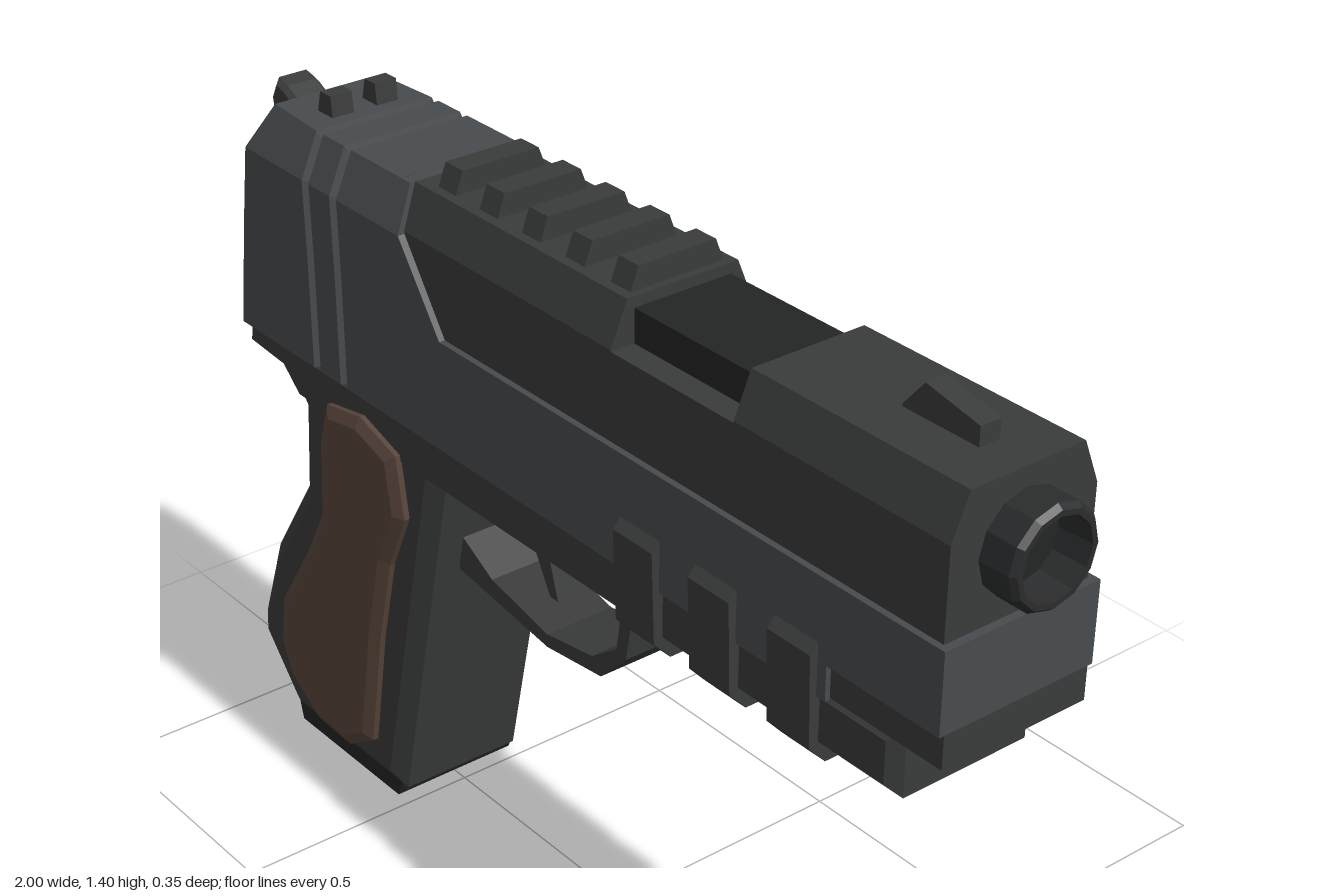
import * as THREE from 'three';

const material = (color) => new THREE.MeshStandardMaterial({ color, flatShading: true });
const LIGHT = material(0x484b4e);
const DARK = material(0x3a3b3b);
const BLACK = material(0x232424);
const BROWN = material(0x57443a);

export function createModel() {
  const model = new THREE.Group();

  const add = (name, geometry, mat) => {
    const mesh = new THREE.Mesh(geometry, mat);
    mesh.name = name;
    model.add(mesh);
    return mesh;
  };

  const box = (name, mat, x0, x1, y0, y1, halfZ, z = 0) =>
    add(name, new THREE.BoxGeometry(x1 - x0, y1 - y0, halfZ * 2), mat)
      .position.set((x0 + x1) / 2, (y0 + y1) / 2, z);

  // Side outline extruded across z, with an optional chamfer kept inside the outline
  const plate = (name, mat, points, halfZ, chamfer = 0, chamferZ = chamfer) => {
    const shape = new THREE.Shape(points.map(([x, y]) => new THREE.Vector2(x, y)));
    const depth = 2 * (halfZ - chamferZ);
    const geometry = new THREE.ExtrudeGeometry(shape, {
      depth, bevelEnabled: chamfer > 0, bevelSegments: 1,
      bevelSize: chamfer, bevelOffset: -chamfer, bevelThickness: chamferZ,
    });
    geometry.translate(0, 0, -depth / 2);
    return add(name, geometry, mat);
  };

  // Solid along x from stations of [x, y, z] half sections (bottom to top), mirrored in z
  const loft = (name, mat, stations) => {
    const rings = stations.map((s) => [...s, ...[...s].reverse().map(([x, y, z]) => [x, y, -z])]);
    const n = rings[0].length;
    const out = [];
    const quad = (a, b, c, d) => out.push(...a, ...b, ...c, ...a, ...c, ...d);
    for (let k = 0; k < rings.length - 1; k++) {
      const [p, q] = [rings[k], rings[k + 1]];
      for (let i = 0; i < n; i++) {
        const j = (i + 1) % n;
        quad(p[i], q[i], q[j], p[j]);
      }
    }
    const back = rings[0], front = rings[rings.length - 1];
    for (let i = 0; i < n / 2 - 1; i++) {
      const [a, b, c, d] = [i, i + 1, n - 2 - i, n - 1 - i];
      quad(back[a], back[b], back[c], back[d]);
      quad(front[a], front[d], front[c], front[b]);
    }
    const geometry = new THREE.BufferGeometry();
    geometry.setAttribute('position', new THREE.Float32BufferAttribute(out, 3));
    geometry.computeVertexNormals();
    return add(name, geometry, mat);
  };
  const at = (x, profile) => profile.map(([y, z]) => [x, y, z]);
  const prism = (name, mat, x0, x1, profile) => loft(name, mat, [at(x0, profile), at(x1, profile)]);

  // Rear slide with two grooves around it
  const full = [[0.885, 0.16], [1.1, 0.16], [1.26, 0.162], [1.345, 0.125]];
  const groove = [[0.885, 0.147], [1.1, 0.147], [1.255, 0.149], [1.328, 0.115]];
  const stations = [
    [[-0.97, 0.885, 0.13], [-0.945, 1.1, 0.13], [-0.933, 1.2, 0.13], [-0.93, 1.24, 0.1]],
    [[-0.955, 0.885, 0.16], [-0.925, 1.1, 0.16], [-0.9, 1.26, 0.16], [-0.86, 1.345, 0.115]],
  ];
  for (const x of [-0.71, -0.622]) {
    stations.push(at(x, full), at(x + 0.004, groove), at(x + 0.018, groove), at(x + 0.022, full));
  }
  const cutX = [-0.3, -0.3, -0.41, -0.42];
  stations.push(full.map(([y, z], i) => [cutX[i], y, z]));
  loft('rearSlide', LIGHT, stations);

  // Lower slide bar running to the front
  plate('lowerSlide', LIGHT, [[-0.31, 0.885], [0.7, 0.885], [0.7, 0.95], [0.945, 0.95],
    [0.945, 1.1], [-0.31, 1.1]], 0.16);

  // Upper slide in three runs, lowered at the ejection port
  const upper = [[1.09, 0.148], [1.265, 0.148], [1.345, 0.115]];
  prism('upperSlideRear', DARK, -0.45, 0.16, upper);
  prism('upperSlidePort', DARK, 0.16, 0.46, [[1.09, 0.148], [1.262, 0.148]]);
  prism('upperSlideFront', DARK, 0.46, 0.93, upper);
  box('chamberBlock', BLACK, 0.16, 0.46, 1.24, 1.325, 0.1);

  // Teeth on top of the slide
  for (let i = 0; i < 5; i++) {
    const x = -0.352 + i * 0.118;
    prism('topTooth', DARK, x - 0.025, x + 0.025, [[1.335, 0.1], [1.387, 0.08]]);
  }

  // Sights
  for (const z of [-0.048, 0.048]) {
    plate('rearSight', DARK, [[-0.788, 1.335], [-0.738, 1.335], [-0.743, 1.385], [-0.776, 1.385]], 0.023)
      .position.z = z;
  }
  plate('frontSight', DARK, [[0.69, 1.335], [0.85, 1.335], [0.85, 1.38], [0.735, 1.403], [0.69, 1.35]], 0.021);

  // Hollow muzzle
  const tube = [[0, 0.9], [0.066, 0.9], [0.072, 1], [0.082, 1], [0.09, 0.99], [0.09, 0.9]];
  const muzzle = new THREE.LatheGeometry(tube.map(([r, h]) => new THREE.Vector2(r, h)).reverse(), 12);
  muzzle.rotateZ(-Math.PI / 2);
  // Deepen nothing else: the bore floor sits just behind the slide face
  const barrel = add('muzzle', muzzle, BLACK);
  barrel.material = material(0x2b2c2d);
  barrel.material.side = THREE.DoubleSide;
  barrel.position.y = 1.22;
  const floor = new THREE.CircleGeometry(0.072, 12);
  floor.rotateY(Math.PI / 2);
  add('boreFloor', floor, BLACK).position.set(0.935, 1.22, 0);

  // Hammer
  plate('hammer', DARK, [[-0.9, 1.2], [-0.87, 1.29], [-0.95, 1.33], [-0.98, 1.338], [-1, 1.3],
    [-0.995, 1.268], [-0.93, 1.235]], 0.04, 0.01);

  // Frame under the slide, with a stepped nose
  plate('frame', DARK, [[-0.965, 0.83], [-0.84, 0.82], [-0.79, 0.775], [0.85, 0.775],
    [0.85, 0.9], [-0.955, 0.9]], 0.152, 0.022);
  box('frameNose', DARK, 0.69, 0.945, 0.888, 0.952, 0.15);

  // Accessory bands wrapped round the underside
  for (const x of [0.25, 0.44, 0.63]) {
    prism('railBand', DARK, x - 0.05, x + 0.05,
      [[0.752, 0.135], [0.79, 0.17], [0.965, 0.176], [0.985, 0.158]]);
  }

  // Grip, base plate and side panels
  plate('grip', DARK, [[-0.84, 0.86], [-0.79, 0.775], [-0.805, 0.58], [-0.93, 0.39], [-1, 0.2],
    [-1, 0.165], [-0.88, 0.028], [-0.51, 0.028], [-0.335, 0.81], [-0.33, 0.86]], 0.15, 0.035, 0.022);
  plate('basePlate', BLACK, [[-0.885, 0.04], [-0.875, 0], [-0.535, 0], [-0.52, 0.04]], 0.135);
  const panel = [[-0.67, 0.825], [-0.56, 0.845], [-0.45, 0.81], [-0.43, 0.685], [-0.485, 0.565],
    [-0.53, 0.38], [-0.575, 0.12], [-0.66, 0.065], [-0.77, 0.07], [-0.86, 0.13], [-0.89, 0.2],
    [-0.875, 0.3], [-0.77, 0.46], [-0.71, 0.57], [-0.7, 0.73]];
  plate('gripPanels', BROWN, panel, 0.174, 0.022, 0.012);

  // Trigger and guard
  plate('triggerGuard', DARK, [[-0.4, 0.66], [-0.385, 0.57], [-0.12, 0.533], [0.035, 0.55],
    [0.105, 0.62], [0.137, 0.79], [0.103, 0.79], [0.08, 0.63], [0.01, 0.58], [-0.12, 0.56],
    [-0.285, 0.595], [-0.365, 0.64]], 0.073);
  plate('trigger', DARK, [[-0.32, 0.79], [-0.3, 0.73], [-0.22, 0.715], [-0.16, 0.605],
    [-0.137, 0.605], [-0.165, 0.7], [-0.155, 0.79]], 0.035);

  return model;
}
